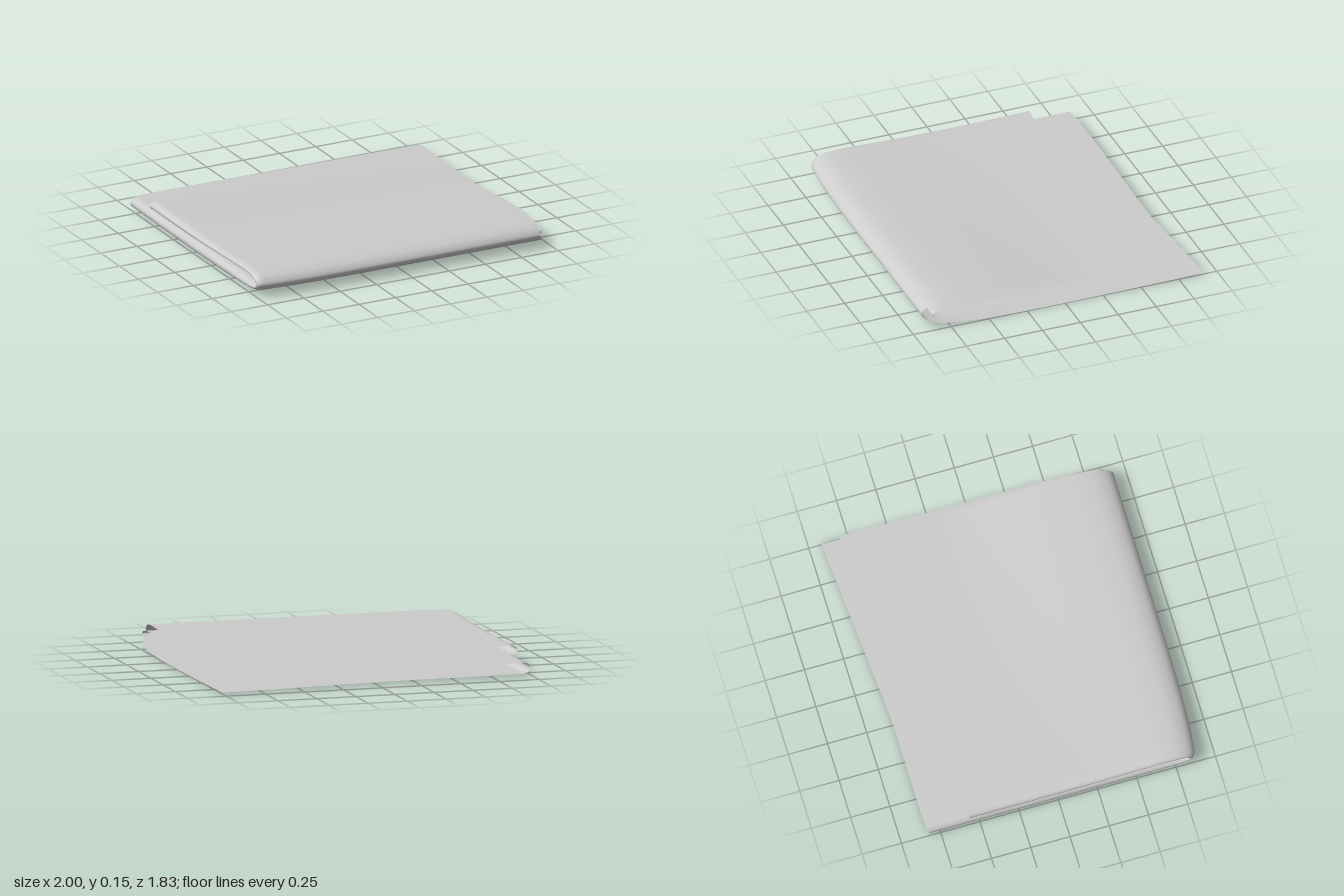
import * as THREE from 'three';

const LEFT = -1, FOLD = 0.05;       // side crease position and its radius
const BACK = 0.3;                   // behind this z the layers stretch to their slanted hems
const { lerp, clamp, smoothstep } = THREE.MathUtils;

// Cross-sections from bottom hem, round the front fold, to top hem: [z, y, x of the open edge]
const section = (pts) => new THREE.CatmullRomCurve3(pts.map(([z, y, x]) => new THREE.Vector3(x, y, z)));
const outerLayer = section([
  [-0.92, 0.009, 1], [-0.4, 0.003, 1], [0.1, 0.001, 1], [0.45, 0.005, 0.998], [0.7, 0.015, 0.985],
  [0.83, 0.028, 0.965], [0.895, 0.05, 0.935], [0.915, 0.082, 0.92], [0.89, 0.115, 0.922], [0.83, 0.139, 0.933],
  [0.72, 0.149, 0.94], [0.5, 0.145, 0.945], [0.2, 0.137, 0.945], [-0.1, 0.137, 0.947], [-0.375, 0.142, 0.95],
]);
const innerLayer = section([
  [-0.81, 0.079, 0.995], [-0.4, 0.075, 0.993], [0.1, 0.074, 0.99], [0.45, 0.073, 0.988], [0.7, 0.069, 0.98],
  [0.8, 0.068, 0.973], [0.845, 0.073, 0.965], [0.857, 0.084, 0.96], [0.845, 0.096, 0.957], [0.8, 0.105, 0.955],
  [0.7, 0.108, 0.95], [0.5, 0.104, 0.95], [0.2, 0.093, 0.95], [-0.2, 0.086, 0.953], [-0.645, 0.085, 0.955],
]);

// Back hem of each layer: z as a function of x
const across = (x) => clamp((x + 1) / 1.96, 0, 1);
const hems = {
  outerBottom: (x) => -0.82 - 0.012 * smoothstep(x, -1, -0.9) - 0.088 * clamp((x + 0.22) / 1.22, 0, 1),
  innerBottom: (x) => -0.82 - 0.017 * smoothstep(x, -1, -0.9) + 0.027 * clamp((x + 0.6) / 1.6, 0, 1),
  outerTop: (x) => lerp(-0.565, -0.375, across(x)),
  innerTop: (x) => lerp(-0.565, -0.645, across(x)),
};

// Slide the rear of a layer so that it ends on its hem
function fitHem(z, nominal, hem) {
  return z > BACK ? z : BACK + (z - BACK) * (BACK - hem) / (BACK - nominal);
}

function createCloth() {
  const flat = 28, bend = 16, NU = flat * 2 + bend, NV = 140;
  const crease = LEFT + FOLD;
  const position = [], index = [];
  for (let j = 0; j <= NV; j++) {
    const v = j / NV, top = v >= 0.5, side = top ? 'Top' : 'Bottom';
    const o = outerLayer.getPoint(v), n = innerLayer.getPoint(v);
    const oEnd = outerLayer.points.at(top ? -1 : 0).z;
    const nEnd = innerLayer.points.at(top ? -1 : 0).z;
    for (let i = 0; i <= NU; i++) {
      // outer layer, round the side crease, then back along the inner layer
      let x, w = 0;
      if (i < flat) x = lerp(o.x, crease, i / flat);
      else if (i > flat + bend) {
        x = lerp(crease, n.x, (i - flat - bend) / flat);
        w = 1;
      } else {
        const a = Math.PI * (i - flat) / bend;
        x = crease - FOLD * Math.sin(a);
        w = (1 - Math.cos(a)) / 2;
      }
      const zo = fitHem(o.z, oEnd, hems['outer' + side](x));
      const zn = fitHem(n.z, nEnd, hems['inner' + side](x));
      let z = lerp(zo, zn, w);
      // the top layer sags onto the one below towards its loose corner
      const sag = top ? 0.037 * across(x) * (1 - smoothstep(zo, -0.3, 0.5)) : 0;
      // the front fold draws in towards the side crease
      if (z > BACK) z -= 0.04 * Math.exp(-(x + 1) / 0.23) * ((z - BACK) / 0.6) ** 2;
      position.push(x, lerp(o.y - sag, n.y, w), z);
      if (i < NU && j < NV) {
        const a = j * (NU + 1) + i, b = a + NU + 1;
        index.push(a, b, a + 1, b, b + 1, a + 1);
      }
    }
  }
  const geometry = new THREE.BufferGeometry();
  geometry.setAttribute('position', new THREE.Float32BufferAttribute(position, 3));
  geometry.setIndex(index);
  geometry.computeVertexNormals();
  return geometry;
}

export function createModel() {
  const group = new THREE.Group();
  group.name = 'foldedBlanket';
  const cloth = new THREE.Mesh(
    createCloth(),
    new THREE.MeshStandardMaterial({ color: 0xcccccc, side: THREE.DoubleSide }),
  );
  cloth.name = 'cloth';
  group.add(cloth);
  return group;
}
